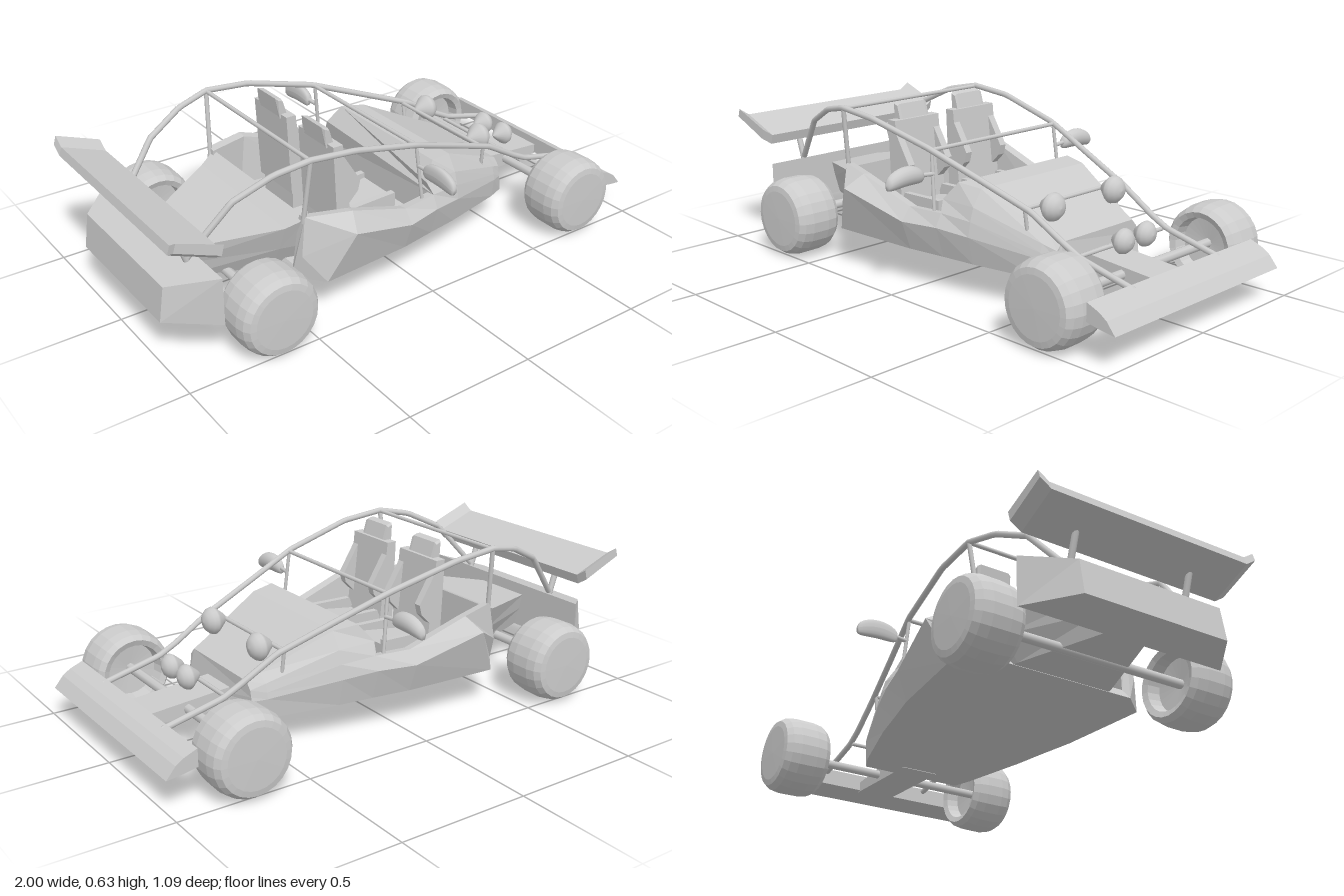
import * as THREE from 'three';

const flat = new THREE.MeshStandardMaterial({ color: 0xcccccc, flatShading: true, side: THREE.DoubleSide });
const smooth = new THREE.MeshStandardMaterial({ color: 0xcccccc });

function add(parent, name, geometry, material = flat) {
  const mesh = new THREE.Mesh(geometry, material);
  mesh.name = name;
  parent.add(mesh);
  return mesh;
}

// Skin closed rings of [x, y, z] points, capped at both ends.
function loft(rings, axis = 'x') {
  const n = rings[0].length, pos = [];
  const tri = (a, b, c) => pos.push(...a, ...b, ...c);
  for (let i = 0; i < rings.length - 1; i++) {
    for (let j = 0; j < n; j++) {
      const k = (j + 1) % n, A = rings[i], B = rings[i + 1];
      tri(A[j], A[k], B[j]);
      tri(A[k], B[k], B[j]);
    }
  }
  for (const ring of [rings[0], rings[rings.length - 1]]) {
    const outline = ring.map(p => new THREE.Vector2(axis === 'x' ? p[2] : p[0], p[1]));
    for (const f of THREE.ShapeUtils.triangulateShape(outline, [])) tri(ring[f[0]], ring[f[1]], ring[f[2]]);
  }
  const g = new THREE.BufferGeometry();
  g.setAttribute('position', new THREE.Float32BufferAttribute(pos, 3));
  g.computeVertexNormals();
  return g;
}

// Mirror a half section of [z, y, xShift] into a full ring at x.
function section(x, half) {
  const side = s => half.map(([z, y, dx = 0]) => [x + dx, y, s * z]);
  return [...side(1), ...side(-1).reverse()];
}

// Side profile in x, y extruded from z0 to z1.
function slab(points, z0, z1) {
  const shape = new THREE.Shape(points.map(p => new THREE.Vector2(...p)));
  const g = new THREE.ExtrudeGeometry(shape, { depth: z1 - z0, bevelEnabled: false });
  return g.translate(0, 0, z0);
}

// Straight round bar between two points.
function bar(parent, name, a, b, r = 0.009) {
  const p = new THREE.Vector3(...a), q = new THREE.Vector3(...b);
  const mesh = add(parent, name, new THREE.CylinderGeometry(r, r, p.distanceTo(q), 8), smooth);
  mesh.position.copy(p).lerp(q, 0.5);
  mesh.quaternion.setFromUnitVectors(new THREE.Vector3(0, 1, 0), q.sub(p).normalize());
}

function lathe(points, segments) {
  return new THREE.LatheGeometry(points.map(p => new THREE.Vector2(...p)), segments);
}

function buildHull(body) {
  // Open cockpit tub: bottom, side crease, rim, inner wall; lean shifts bottom back and rim forward
  const tub = (x, bz, by, cz, cy, rz, ry, bottomShift = 0, rimShift = 0) => section(x, [
    [bz, by, bottomShift], [cz, cy], [rz, ry, rimShift], [rz - 0.035, ry - 0.005, rimShift], [rz - 0.05, 0.18]]);
  add(body, 'cockpitTub', loft([
    tub(-0.465, 0.3, 0.145, 0.34, 0.24, 0.33, 0.385, -0.02, 0.02),
    tub(-0.31, 0.4, 0.145, 0.45, 0.33, 0.38, 0.38, -0.09, 0.03),
    tub(-0.035, 0.365, 0.138, 0.405, 0.25, 0.365, 0.3),
    tub(0.11, 0.335, 0.134, 0.37, 0.25, 0.345, 0.3)]));

  // Hood, with a dashboard that overhangs the cockpit
  add(body, 'hood', loft([
    section(0.11, [[0.335, 0.134], [0.37, 0.25], [0.345, 0.3], [0.32, 0.345, -0.015], [0.29, 0.41, 0.035]]),
    section(0.24, [[0.31, 0.13], [0.335, 0.235], [0.325, 0.29], [0.31, 0.34], [0.27, 0.4]]),
    section(0.5, [[0.24, 0.12], [0.25, 0.197], [0.245, 0.22], [0.235, 0.25], [0.2, 0.28]]),
    section(0.55, [[0.21, 0.116, 0.02], [0.225, 0.19], [0.22, 0.205], [0.215, 0.23], [0.19, 0.257]])]));

  // Tapered engine cover, undercut at the sides, and the wide tail
  add(body, 'engineCover', loft([
    section(-0.43, [[0.22, 0.147], [0.27, 0.24], [0.32, 0.37]]),
    section(-0.5, [[0.2, 0.147], [0.25, 0.24], [0.29, 0.34]]),
    section(-0.83, [[0.08, 0.152], [0.1, 0.22], [0.115, 0.285]])]));
  add(body, 'tail', loft([
    section(-0.82, [[0.42, 0.15], [0.42, 0.33]]),
    section(-0.98, [[0.29, 0.155, -0.01], [0.29, 0.285, 0.01]])]));

  // Nose beam and front wing
  add(body, 'noseBeam', slab([[0.5, 0.118], [0.9, 0.13], [0.9, 0.17], [0.5, 0.2]], -0.077, 0.077));
  add(body, 'frontWing', slab([[0.885, 0.135], [0.94, 0.125], [1, 0.118], [0.965, 0.16], [0.935, 0.18], [0.885, 0.2]], -0.452, 0.452));

  // Rear wing with raised tips
  const wing = (z, up) => [[-1, 0.478], [-0.835, 0.41], [-0.825, 0.448], [-0.99, 0.51]].map(
    ([x, y]) => [x, y + up, z]);
  add(body, 'rearWing', loft([wing(-0.453, 0.028), wing(-0.41, 0), wing(0.41, 0), wing(0.453, 0.028)], 'z'));
}

function buildFrame(body) {
  const rail = [[-0.85, 0.33, 0.24], [-0.7, 0.51, 0.29], [-0.56, 0.58, 0.325], [-0.43, 0.607, 0.35], [-0.25, 0.59, 0.352],
    [0.03, 0.52, 0.328], [0.25, 0.437, 0.287], [0.46, 0.357, 0.25], [0.6, 0.275, 0.24], [0.67, 0.24, 0.238], [0.9, 0.185, 0.235]];
  for (const s of [1, -1]) {
    // Zero tension keeps the tube straight between its bends
    const points = rail.map(([x, y, z]) => new THREE.Vector3(x, y, s * z));
    const curve = new THREE.CatmullRomCurve3(points, false, 'catmullrom', 0);
    add(body, 'rollCageRail', new THREE.TubeGeometry(curve, 80, 0.0115, 8), smooth);
    bar(body, 'rearPost', [-0.43, 0.605, s * 0.35], [-0.445, 0.36, s * 0.32]);
    bar(body, 'windshieldPost', [0.04, 0.515, s * 0.322], [0.065, 0.28, s * 0.335], 0.007);
    bar(body, 'hoodPost', [0.43, 0.365, s * 0.25], [0.435, 0.25, s * 0.235], 0.007);
    bar(body, 'wingStrut', [-0.9, 0.46, s * 0.24], [-0.85, 0.31, s * 0.24], 0.012);
  }
  for (const [x, y, z] of [[-0.43, 0.605, 0.35], [0.04, 0.515, 0.322], [0.43, 0.362, 0.25], [0.65, 0.235, 0.238]])
    bar(body, 'crossBar', [x, y, -z], [x, y, z], 0.008);
}

function buildSeat(body, z) {
  const seat = new THREE.Group();
  seat.name = 'seat';
  seat.position.z = z;
  body.add(seat);
  add(seat, 'backrest', slab([[-0.275, 0.57], [-0.235, 0.57], [-0.2, 0.25], [-0.26, 0.25]], -0.11, 0.11));
  const head = (z, inset) => [[-0.29 + inset, 0.632], [-0.265, 0.625], [-0.245, 0.56], [-0.28, 0.56]].map(
    ([x, y]) => [x, y - inset, z]);
  add(seat, 'headrest', loft([head(-0.072, 0.006), head(-0.06, 0), head(0.06, 0), head(0.072, 0.006)], 'z'));
  add(seat, 'cushion', slab([[-0.25, 0.18], [-0.25, 0.25], [0, 0.285], [0, 0.18]], -0.1, 0.1));
  for (const s of [-1, 1]) {
    const c = s * 0.095;
    add(seat, 'backBolster', slab([[-0.27, 0.53], [-0.235, 0.53], [-0.16, 0.41], [-0.17, 0.37],
      [-0.21, 0.33], [-0.26, 0.33]], c - 0.015, c + 0.015));
    add(seat, 'cushionBolster', slab([[-0.21, 0.25], [-0.19, 0.3], [0, 0.305], [0, 0.25]], c - 0.012, c + 0.012));
  }
}

function buildDetails(body) {
  for (const s of [1, -1]) {
    // Headlights: cone back, domed lens
    for (const [name, x, y, z, r] of [['headlight', 0.475, 0.362, 0.163, 0.052], ['fogLight', 0.705, 0.268, 0.06, 0.046]]) {
      const g = lathe([[0, -1], [0.35, -0.75], [0.9, -0.1], [1, 0.1], [0.92, 0.4], [0.65, 0.7], [0.35, 0.84], [0, 0.9]], 20);
      const light = add(body, name, g.scale(r, r, r), smooth);
      light.rotation.z = -Math.PI / 2;
      light.position.set(x, y, s * z);
    }
    // Mirror pod: blunt ends, flat on its rear side, drooping outward
    const g = new THREE.SphereGeometry(1, 16, 12).rotateX(Math.PI / 2), p = g.attributes.position;
    for (let i = 0; i < p.count; i++) {
      const w = p.getZ(i) * s;
      const blunt = 1 / Math.sqrt(Math.max(Math.hypot(p.getX(i), p.getY(i)), 0.01));
      p.setX(i, p.getX(i) * blunt * (p.getX(i) < 0 ? 0.013 : 0.032));
      p.setY(i, p.getY(i) * blunt * 0.036 - 0.016 * w * w - 0.004 * w);
      p.setZ(i, p.getZ(i) * 0.083);
    }
    g.computeVertexNormals();
    add(body, 'mirror', g, smooth).position.set(0.04, 0.441, s * 0.453);
    bar(body, 'mirrorArm', [0.045, 0.435, s * 0.4], [0.05, 0.43, s * 0.325], 0.008);
  }
}

function buildWheels(root) {
  const running = new THREE.Group();
  running.name = 'wheelsAndAxles';
  running.position.z = -0.007;
  root.add(running);
  const tyre = lathe([[0, -0.03], [0.1, -0.04], [0.108, -0.088], [0.13, -0.096], [0.146, -0.075], [0.153, -0.035],
    [0.154, 0.035], [0.147, 0.07], [0.132, 0.092], [0.11, 0.096], [0, 0.098]], 24);
  for (const x of [-0.65, 0.725]) {
    for (const s of [1, -1]) {
      const wheel = add(running, x > 0 ? 'frontWheel' : 'rearWheel', tyre);
      wheel.rotation.x = s * Math.PI / 2;
      wheel.position.set(x, 0.154, s * 0.438);
    }
    bar(running, 'axle', [x - 0.005, 0.155, -0.41], [x - 0.005, 0.155, 0.41], 0.018);
  }
}

export function createModel() {
  const root = new THREE.Group();
  root.name = 'openBuggy';
  const body = new THREE.Group();
  body.name = 'body';
  body.position.z = 0.01;
  root.add(body);
  buildHull(body);
  buildFrame(body);
  for (const z of [0.149, -0.149]) buildSeat(body, z);
  buildDetails(body);
  buildWheels(root);
  return root;
}
